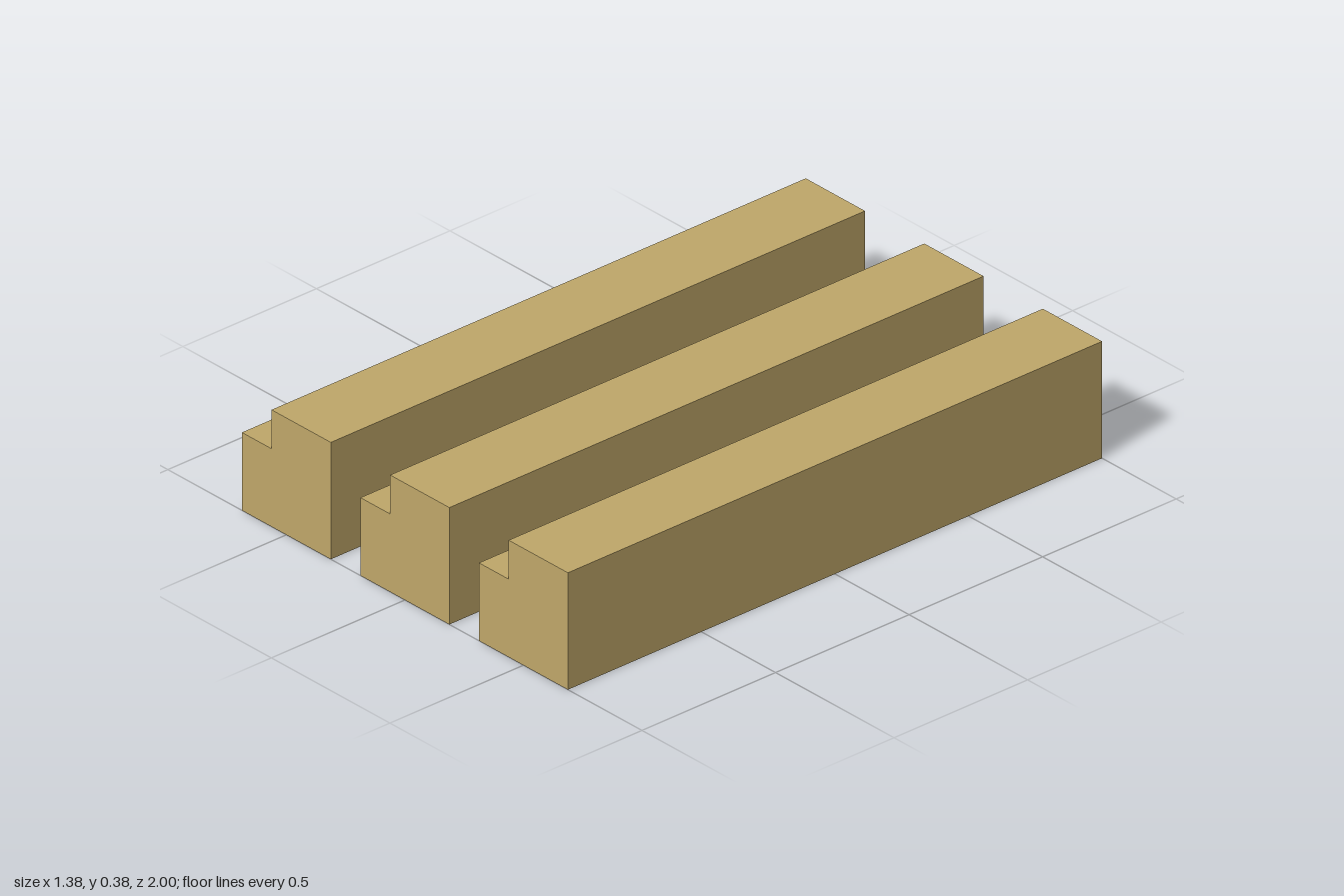
import * as THREE from 'three';

const LENGTH = 2;
const SPACING = 0.5;

// Square beam section with a rebate cut from its upper -x corner
function beamSection() {
  const h = 0.1875;
  return new THREE.Shape([
    new THREE.Vector2(-h, 0),
    new THREE.Vector2(h, 0),
    new THREE.Vector2(h, 0.375),
    new THREE.Vector2(-0.0625, 0.375),
    new THREE.Vector2(-0.0625, 0.25),
    new THREE.Vector2(-h, 0.25),
  ]);
}

export function createModel() {
  const model = new THREE.Group();
  model.name = 'rebatedBeams';

  const wood = new THREE.MeshStandardMaterial({ color: 0xc0a86a });
  wood.name = 'paleWood';

  const geometry = new THREE.ExtrudeGeometry(beamSection(), { depth: LENGTH, bevelEnabled: false });
  geometry.translate(0, 0, -LENGTH / 2);

  // Three parallel beams running front to back
  ['rightBeam', 'middleBeam', 'leftBeam'].forEach((name, i) => {
    const beam = new THREE.Mesh(geometry, wood);
    beam.name = name;
    beam.position.x = (i - 1) * SPACING;
    model.add(beam);
  });

  return model;
}
